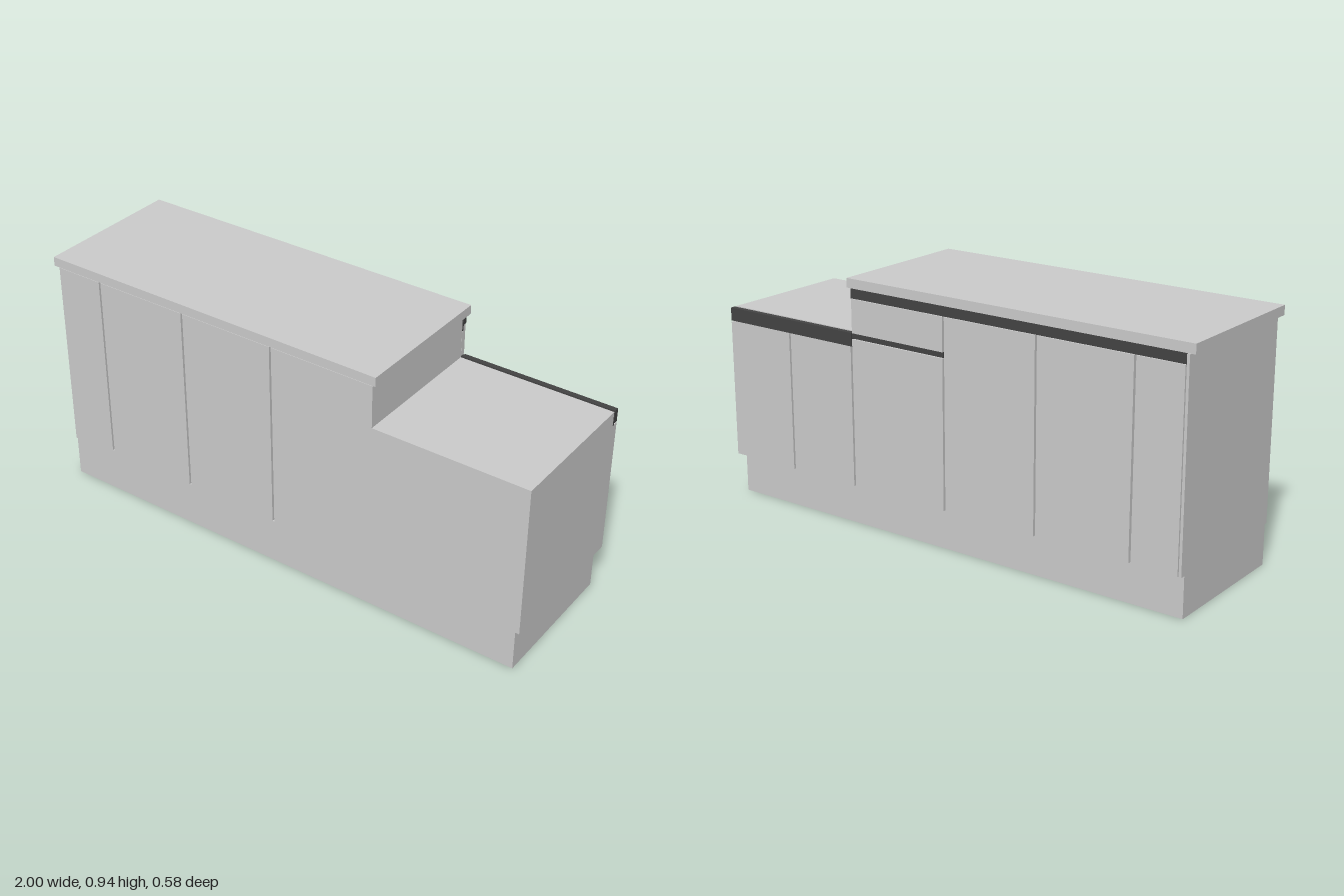
import * as THREE from 'three';

export function createModel() {
  const root = new THREE.Group();
  const grey = new THREE.MeshStandardMaterial({ color: 0xcccccc });
  const dark = new THREE.MeshStandardMaterial({ color: 0x444444 });

  // Box given by its limits on each axis
  function block(name, [x0, x1], [y0, y1], [z0, z1], material = grey) {
    const mesh = new THREE.Mesh(new THREE.BoxGeometry(x1 - x0, y1 - y0, z1 - z0), material);
    mesh.position.set((x0 + x1) / 2, (y0 + y1) / 2, (z0 + z1) / 2);
    mesh.name = name;
    root.add(mesh);
  }

  const left = -0.978, step = 0.4, right = 1;
  const base = 0.157, tallTop = 0.902, lowTop = 0.74;
  const depth = [-0.262, 0.29];
  const doorDepth = [-0.29, -0.27];

  // Plinth, joined cabinet floor and worktop
  block('plinth', [-0.972, 0.985], [0, base], [-0.26, 0.29]);
  block('cabinetFloor', [left, right], [base, 0.175], depth);
  block('worktop', [-1, 0.413], [0.905, 0.94], [-0.292, 0.292]);

  // Tall cabinets, standing with narrow slits between them
  const joints = [-0.783, -0.403, -0.017];
  const edges = [left, ...joints, step];
  const half = 0.004;
  for (let i = 0; i < edges.length - 1; i++) {
    const x0 = edges[i] + (i > 0 ? half : 0);
    const x1 = edges[i + 1] - (i < edges.length - 2 ? half : 0);
    block('tallCabinet', [x0, x1], [0.175, tallTop], depth);
  }

  // Low cabinet
  block('lowCabinet', [step, right], [0.175, lowTop], depth);

  // End panels reaching the door faces
  block('tallEndPanel', [left, -0.968], [base, tallTop], [-0.29, -0.262]);
  block('lowEndPanel', [0.99, right], [base, 0.685], [-0.29, -0.262]);

  // Doors and the drawer front
  const gap = 0.004;
  const door = (name, x0, x1, y0, y1) =>
    block(name, [x0 + gap, x1 - gap], [y0, y1], doorDepth);
  door('door', -0.968, joints[0], base, 0.866);
  door('door', joints[0], joints[1], base, 0.866);
  door('door', joints[1], joints[2], base, 0.866);
  door('drawerFront', joints[2], step, lowTop, 0.866);
  door('door', joints[2], step, base, 0.718);
  door('door', step, 0.7, base, 0.69);
  door('door', 0.7, 0.994, base, 0.69);

  // Recessed grip rails: a rear flange and a forward lip
  function gripRail(x0, x1, top, lipHeight, front) {
    block('gripRailFlange', [x0, x1], [top - 0.058, top - 0.024], [-0.271, -0.262], dark);
    block('gripRailLip', [x0, x1], [top - lipHeight, top], [front, -0.27], dark);
  }
  gripRail(-0.968, step, 0.903, 0.036, -0.287);
  gripRail(joints[2] + gap, step, lowTop, 0.021, -0.285);
  gripRail(step, right, lowTop, 0.05, -0.29);

  return root;
}
